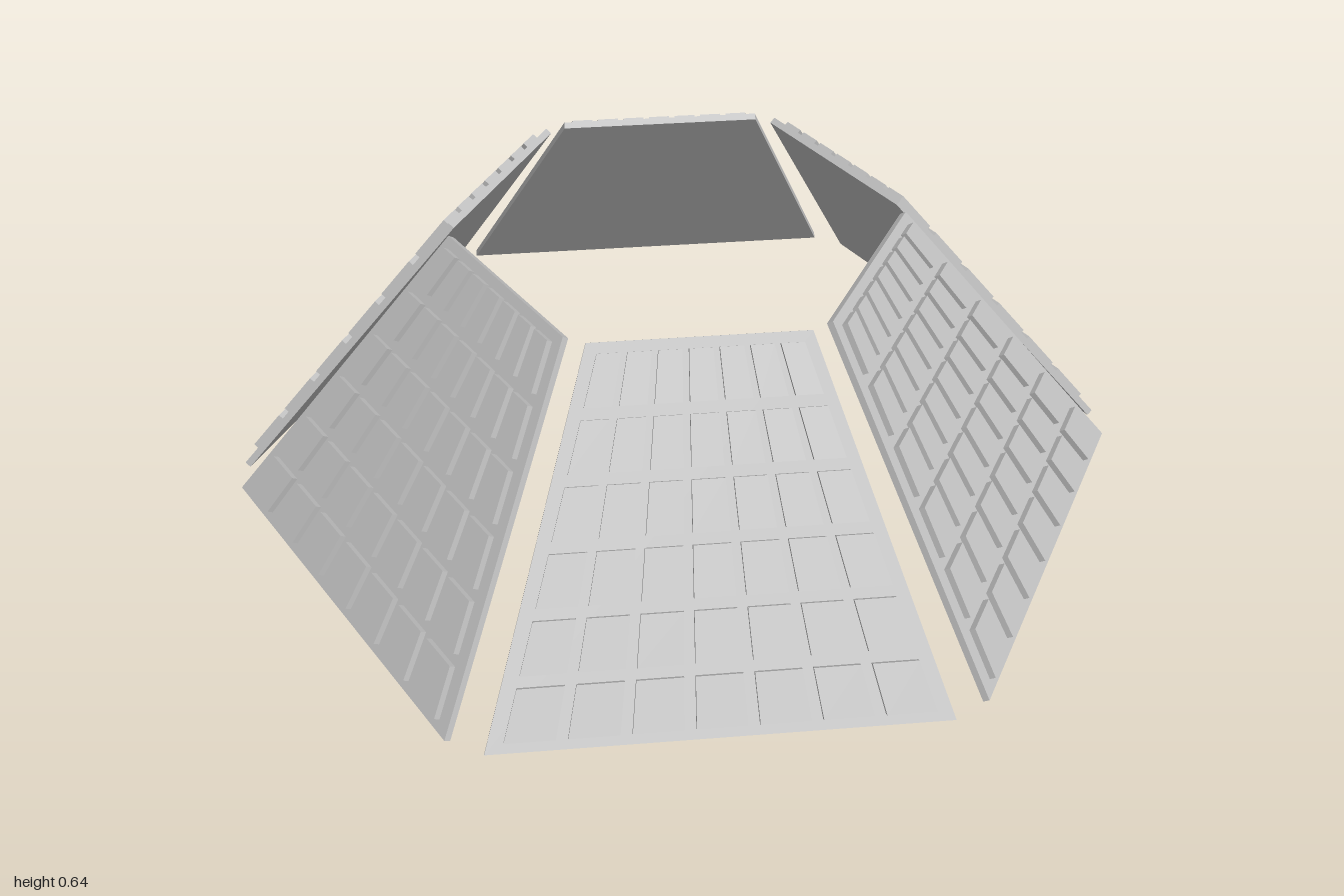
import * as THREE from 'three';

const SLOPE = 0.78;              // panel length along the slope
const HALF_BOTTOM = 0.462, HALF_TOP = 0.222;
const PLATE = 0.015, RAISE = 0.014;
const ROWS = 6, COLUMNS = 7;

const halfWidth = (v) => THREE.MathUtils.lerp(HALF_BOTTOM, HALF_TOP, v / SLOPE);

// Extruded quad lying in the panel plane
function slab(points, depth) {
  const shape = new THREE.Shape(points.map(([x, y]) => new THREE.Vector2(x, y)));
  return new THREE.ExtrudeGeometry(shape, { depth, bevelEnabled: false });
}

export function createModel() {
  const model = new THREE.Group();
  model.name = 'panelRing';
  const grey = new THREE.MeshStandardMaterial({ color: 0xc0c0c0 });
  grey.name = 'lightGrey';

  const plateGeometry = slab([
    [-HALF_BOTTOM, 0], [HALF_BOTTOM, 0], [HALF_TOP, SLOPE], [-HALF_TOP, SLOPE],
  ], PLATE);

  // Raised tiles, fanning together towards the top edge
  const tileGeometries = [];
  const margin = 0.022, gap = 0.024;
  const pitch = (SLOPE - 2 * margin + gap) / ROWS;
  for (let row = 0; row < ROWS; row++) {
    const v0 = margin + row * pitch;
    const v1 = v0 + pitch - gap;
    for (let col = 0; col < COLUMNS; col++) {
      const edge = (v, c, inset) => (halfWidth(v) - 0.02) * (2 * c / COLUMNS - 1) + inset;
      const inset = (v) => 0.011 * halfWidth(v) / HALF_BOTTOM + 0.001;
      tileGeometries.push(slab([
        [edge(v0, col, inset(v0)), v0], [edge(v0, col + 1, -inset(v0)), v0],
        [edge(v1, col + 1, -inset(v1)), v1], [edge(v1, col, inset(v1)), v1],
      ], RAISE));
    }
  }

  // Six leaning panels around the centre
  for (let i = 0; i < 6; i++) {
    const panel = new THREE.Group();
    panel.name = 'panel' + (i + 1);
    panel.rotation.y = Math.PI / 6 + i * Math.PI / 3;

    const leaning = new THREE.Group();
    leaning.name = 'leaningPanel';
    leaning.position.z = 0.876;
    leaning.rotation.x = -Math.atan2(0.455, 0.635);
    panel.add(leaning);

    const plate = new THREE.Mesh(plateGeometry, grey);
    plate.name = 'backingPlate';
    leaning.add(plate);

    for (const geometry of tileGeometries) {
      const tile = new THREE.Mesh(geometry, grey);
      tile.name = 'raisedTile';
      tile.position.z = PLATE;
      leaning.add(tile);
    }
    model.add(panel);
  }
  return model;
}
